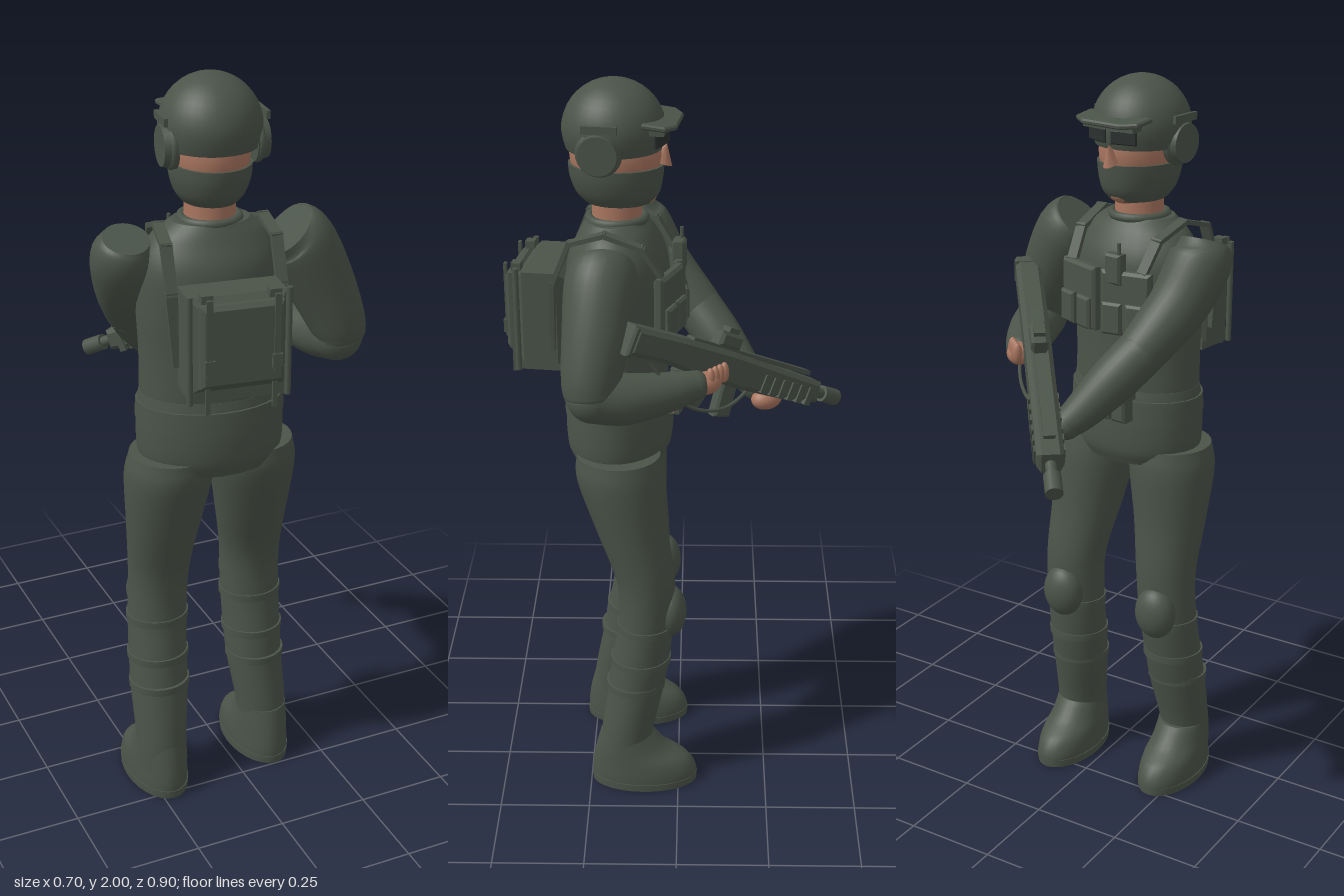
import * as THREE from 'three';

const mat = (name, color, side = THREE.FrontSide) => {
  const m = new THREE.MeshStandardMaterial({ color, side });
  m.name = name;
  return m;
};
const V = (x, y, z) => new THREE.Vector3(x, y, z);

// Smooth skin over elliptical rings. Rows: [x, y, z, ru, rv].
// Flat rings stay horizontal (rows go upward); otherwise they follow the path.
function loft(rows, flat = true, steps = 5, n = 28) {
  const mid = new THREE.CatmullRomCurve3(rows.map(r => V(r[0], r[1], r[2])), false, 'catmullrom');
  const rad = new THREE.CatmullRomCurve3(rows.map(r => V(r[3], r[4] ?? r[3], 0)), false, 'catmullrom');
  const count = (rows.length - 1) * steps, pos = [], idx = [];
  const ring = k => {
    const f = k / count, c = mid.getPoint(f), r = rad.getPoint(f);
    const t = flat ? V(0, 1, 0) : mid.getTangent(f);
    const u = flat ? V(1, 0, 0) : V(0, 1, 0).cross(t).normalize();
    const v = u.clone().cross(t);
    for (let j = 0; j < n; j++) {
      const a = j / n * Math.PI * 2;
      const p = c.clone().addScaledVector(u, Math.cos(a) * r.x).addScaledVector(v, Math.sin(a) * r.y);
      pos.push(p.x, p.y, p.z);
    }
    return c;
  };
  for (let k = 0; k <= count; k++) ring(k);
  for (let k = 0; k < count; k++) for (let j = 0; j < n; j++) {
    const a = k * n + j, b = k * n + (j + 1) % n;
    idx.push(a, a + n, b, b, a + n, b + n);
  }
  // separate end caps keep a crisp edge
  for (const k of [0, count]) {
    const s = pos.length / 3, c = ring(k), m = pos.length / 3;
    pos.push(c.x, c.y, c.z);
    for (let j = 0; j < n; j++) {
      const a = s + j, b = s + (j + 1) % n;
      if (k) idx.push(m, b, a); else idx.push(m, a, b);
    }
  }
  const g = new THREE.BufferGeometry();
  g.setAttribute('position', new THREE.Float32BufferAttribute(pos, 3));
  g.setIndex(idx);
  g.computeVertexNormals();
  return g;
}

// Extruded outline with a chamfered edge, centred on its depth
function slab(points, depth, bevel) {
  const g = new THREE.ExtrudeGeometry(new THREE.Shape(points.map(p => new THREE.Vector2(...p))), {
    depth: depth - bevel * 2, bevelSize: bevel, bevelThickness: bevel, bevelOffset: -bevel, bevelSegments: 1 });
  return g.translate(0, 0, bevel - depth / 2);
}
const rect = (w, h) => [[-w / 2, -h / 2], [w / 2, -h / 2], [w / 2, h / 2], [-w / 2, h / 2]];

export function createModel() {
  const green = mat('uniform green', 0x4b5449), skin = mat('skin', 0xa8755f);
  const dark = mat('dark lens', 0x2b302e);
  const root = new THREE.Group();
  root.name = 'soldier';
  const add = (parent, name, geo, m = green, p = [0, 0, 0], rot = [0, 0, 0], s = [1, 1, 1]) => {
    const o = new THREE.Mesh(geo, m);
    o.name = name;
    o.position.set(...p); o.rotation.set(...rot); o.scale.set(...s);
    parent.add(o);
    return o;
  };
  const group = (name, parent = root) => {
    const g = new THREE.Group();
    g.name = name;
    parent.add(g);
    return g;
  };
  const box = (w, h, d) => new THREE.BoxGeometry(w, h, d);
  const ball = new THREE.SphereGeometry(1, 24, 16);

  // Upper body, turned slightly
  const body = group('upperBody');
  body.position.set(-0.065, 0, 0.16);
  body.rotation.y = -0.13;
  add(body, 'torso', loft([[0, 1.19, 0, .185, .13], [0, 1.3, 0, .185, .13], [0, 1.42, 0, .19, .135],
    [0, 1.53, 0, .185, .13], [0, 1.6, 0, .15, .1], [0, 1.64, .005, .1, .075]]));
  add(body, 'jacketSkirt', loft([[0, .98, 0, .175, .125], [0, 1.02, 0, .192, .14], [0, 1.09, 0, .195, .143],
    [0, 1.15, 0, .192, .138], [0, 1.19, 0, .186, .131]]));
  add(body, 'belt', loft([[0, 1.115, 0, .197, .146], [0, 1.165, 0, .195, .142]], true, 1));
  add(body, 'collar', new THREE.TorusGeometry(.072, .012, 8, 28), green, [0, 1.64, 0], [Math.PI / 2, 0, 0]);
  add(body, 'neck', new THREE.CylinderGeometry(.062, .067, .16, 24), skin, [0, 1.66, 0]);

  // Head, mask, helmet and ear cups
  const head = group('head', body);
  add(head, 'face', ball, skin, [0, 1.81, 0], [0, 0, 0], [.098, .125, .12]);
  add(head, 'nose', new THREE.ConeGeometry(.02, .05, 12), skin, [0, 1.815, -.122], [-.35, 0, 0], [1, 1, 1.6]);
  add(head, 'chin', ball, skin, [0, 1.705, -.055], [0, 0, 0], [.045, .03, .05]);
  add(head, 'mask', loft([[0, 1.685, -.005, .07, .085], [0, 1.71, -.003, .088, .108],
    [0, 1.75, 0, .1, .12], [0, 1.785, 0, .103, .124]], true, 3));
  const dome = [[.118, 1.825], [.124, 1.845], [.128, 1.87]];
  for (let i = 1; i <= 10; i++) {
    const a = i / 10 * Math.PI / 2;
    dome.push([Math.max(.128 * Math.cos(a), .0001), 1.87 + .13 * Math.sin(a)]);
  }
  add(head, 'helmet', new THREE.LatheGeometry(dome.map(p => new THREE.Vector2(...p)), 36),
    mat('helmet green', 0x4b5449, THREE.DoubleSide), [0, 0, .005], [0, 0, 0], [1, 1, 1.04]);
  add(head, 'helmetBill', slab([[-.1, 0], [.1, 0], [.098, .06], [.06, .085], [-.06, .085], [-.098, .06]], .014, .004),
    green, [0, 1.905, -.08], [-Math.PI / 2 - .12, 0, 0]);
  add(head, 'goggleFrame', box(.16, .022, .04), green, [0, 1.888, -.115]);
  for (const s of [-1, 1]) {
    add(head, 'lens', slab(rect(.07, .036), .009, .003), dark, [s * .042, 1.86, -.122], [0, s * -.3, 0]);
    add(head, 'earCup', new THREE.CylinderGeometry(.05, .058, .035, 24), green, [s * .115, 1.835, .025], [0, 0, -s * Math.PI / 2]);
    add(head, 'earCupRim', new THREE.TorusGeometry(.05, .01, 8, 24), green, [s * .108, 1.835, .025], [0, Math.PI / 2, 0]);
    add(head, 'helmetRail', box(.01, .02, .09), green, [s * .127, 1.9, .02]);
  }

  // Backpack
  const pack = group('backpack', body);
  add(pack, 'packBody', slab(rect(.25, .25), .15, .03), green, [0, 1.395, .185]);
  add(pack, 'packFlap', slab(rect(.21, .21), .035, .01), green, [0, 1.405, .262]);
  add(pack, 'packBase', box(.24, .03, .11), green, [0, 1.265, .185]);
  for (const s of [-1, 1]) {
    add(pack, 'packRod', new THREE.CylinderGeometry(.008, .008, .28, 10), green, [s * .125, 1.39, .245]);
    add(pack, 'packStrap', box(.016, .2, .008), green, [s * .085, 1.43, .28]);
    add(pack, 'packBuckle', box(.026, .035, .016), green, [s * .085, 1.36, .28]);
    add(pack, 'packTail', box(.012, .08, .008), green, [s * .085, 1.27, .265]);
    add(pack, 'packHook', box(.03, .02, .025), green, [s * .085, 1.525, .25]);
  }

  // Shoulder straps as chains of thin bars
  const bar = (parent, name, a, b, w, t) => {
    const o = add(parent, name, box(w, t, a.distanceTo(b) + t), green);
    o.position.copy(a).add(b).multiplyScalar(.5);
    const z = b.clone().sub(a).normalize(), x = V(1, 0, 0).addScaledVector(z, -z.x).normalize();
    o.quaternion.setFromRotationMatrix(new THREE.Matrix4().makeBasis(x, z.clone().cross(x), z));
  };
  for (const s of [-1, 1]) {
    const path = [V(.11, 1.38, -.135), V(.115, 1.52, -.135), V(.125, 1.6, -.085), V(.135, 1.635, .01),
      V(.14, 1.61, .1), V(.14, 1.5, .145), V(.125, 1.32, .15)].map(p => p.setX(p.x * s));
    for (let i = 1; i < path.length; i++) bar(body, 'shoulderStrap', path[i - 1], path[i], .03, .012);
    // Chest rig
    add(body, 'chestPlate', slab(rect(.14, .17), .03, .008), green, [s * .075, 1.44, -.145], [0, s * -.25, 0]);
    for (let i = 0; i < 2; i++)
      add(body, 'chestPouch', slab(rect(.055, .085), .03, .006), green, [s * (.045 + i * .065), 1.4, -.165 + i * .015], [0, s * -.25, 0]);
  }
  add(body, 'chestRadio', slab(rect(.05, .08), .035, .006), green, [-.045, 1.53, -.155]);
  add(body, 'radioAerial', new THREE.CylinderGeometry(.005, .005, .06, 8), green, [-.06, 1.57, -.16]);
  for (let i = 0; i < 3; i++) {
    add(body, 'beltPouch', slab(rect(.046, .075), .045, .007), green, [-.07 + i * .055, 1.155, -.155]);
    add(body, 'pouchLid', box(.05, .02, .05), green, [-.07 + i * .055, 1.187, -.155]);
  }
  add(body, 'beltTag', box(.018, .03, .03), skin, [.08, 1.15, -.145]);

  // Arms: upper sleeve, forearm, cuff, hand
  const arm = (name, upper, fore, hand) => {
    const g = group(name);
    add(g, 'upperSleeve', loft(upper, false));
    add(g, 'forearmSleeve', loft(fore, false));
    const e = fore[0], c = fore.at(-1);
    add(g, 'elbowPad', ball, green, e.slice(0, 3), [0, 0, 0], [e[3], e[3], e[3]]);
    add(g, 'cuff', ball, green, c.slice(0, 3), [0, 0, 0], [.04, .04, .04]);
    add(g, 'palm', ball, skin, hand, [0, .6, 0], [.034, .03, .045]);
    for (let i = 0; i < 4; i++)
      add(g, 'finger', ball, skin, [hand[0] + .012 - i * .013, hand[1] + .018, hand[2] - .012 - i * .012],
        [0, .7, 0], [.013, .028, .012]);
  };
  arm('leftArm',
    [[.135, 1.585, .19, .075], [.17, 1.55, .19, .092], [.225, 1.44, .2, .088], [.27, 1.33, .215, .075], [.28, 1.28, .215, .066]],
    [[.275, 1.285, .21, .068], [.255, 1.27, .13, .066], [.215, 1.27, .03, .052], [.18, 1.275, -.04, .04]], [.165, 1.275, -.07]);
  arm('rightArm',
    [[-.275, 1.6, .13, .06], [-.275, 1.55, .11, .083], [-.25, 1.45, .05, .078], [-.2, 1.34, -.05, .065]],
    [[-.2, 1.34, -.05, .064], [-.15, 1.27, -.11, .062], [-.1, 1.2, -.17, .05], [-.07, 1.165, -.205, .04]], [-.04, 1.14, -.235]);

  // Legs: rows are [height, x, z, half width, half depth]
  const leg = (name, rows, footX, footZ, kneeX, kneeZ) => {
    const g = group(name), to = ([y, x, z, a, b], k = 0) => [x, y, z, a + k, b + k];
    add(g, 'trouser', loft(rows.map(r => to(r))));
    for (const [i, y] of [[2, .31], [3, .39], [4, .5]]) {
      const r = rows[i], t = to([y, ...r.slice(1)], .004);
      add(g, 'shinBand', loft([t, [t[0], y + .02, t[2], t[3], t[4]]], true, 1));
    }
    add(g, 'kneePad', ball, green, [kneeX, .55, kneeZ], [0, 0, 0], [.06, .075, .045]);
    add(g, 'boot', loft([[footX, 0, footZ, .079, .147], [footX, .035, footZ, .081, .149], [footX, .075, footZ + .01, .078, .135],
      [footX, .11, footZ + .035, .073, .103], [footX, .16, footZ + .05, .068, .075]], true, 3));
    add(g, 'sole', loft([[footX, 0, footZ, .082, .15], [footX, .022, footZ, .083, .151]], true, 1));
  };
  leg('leftLeg', [[.08, .105, .145, .07, .072], [.16, .103, .145, .07, .073], [.3, .092, .12, .078, .078], [.4, .09, .105, .081, .08],
    [.52, .089, .09, .083, .076], [.65, .088, .09, .085, .08], [.8, .074, .125, .1, .097], [.95, .06, .155, .115, .118], [1.02, .055, .16, .108, .112]],
    .104, .097, .089, .022);
  leg('rightLeg', [[.08, -.222, .19, .07, .068], [.16, -.222, .183, .07, .07], [.3, -.213, .152, .08, .075], [.4, -.208, .132, .081, .077],
    [.52, -.2, .112, .082, .076], [.65, -.193, .11, .084, .08], [.8, -.188, .135, .1, .097], [.95, -.18, .155, .117, .118], [1.02, -.175, .16, .108, .112]],
    -.222, .127, -.2, .042);

  // Rifle: local x runs from muzzle to stock
  const gun = group('rifle');
  const dir = V(.45, .36, .56).normalize(), side = dir.clone().cross(V(0, 1, 0)).normalize();
  gun.quaternion.setFromRotationMatrix(new THREE.Matrix4().makeBasis(dir, side.clone().cross(dir), side));
  gun.position.set(-.18, 1.08, -.43);
  const rod = (name, r, len, x, y) => add(gun, name, new THREE.CylinderGeometry(r, r, len, 16), green, [x, y, 0], [0, 0, Math.PI / 2]);
  rod('muzzle', .023, .06, .03, 0);
  rod('barrel', .015, .12, .09, 0);
  add(gun, 'receiver', slab([[.09, -.025], [.2, -.04], [.4, -.045], [.55, -.04], [.68, -.03], [.8, -.035],
    [.8, .04], [.62, .045], [.45, .045], [.1, .032]], .07, .012));
  for (let i = 0; i < 6; i++) add(gun, 'handguardRib', box(.02, .05, .08), green, [.14 + i * .035, -.012, 0]);
  add(gun, 'topRail', box(.45, .012, .03), green, [.37, .046, 0]);
  add(gun, 'scope', slab(rect(.08, .04), .045, .008), green, [.47, .07, 0]);
  add(gun, 'scopeCap', box(.035, .02, .03), green, [.47, .093, 0]);
  add(gun, 'pistolGrip', slab(rect(.04, .09), .035, .006), green, [.5, -.075, 0], [0, 0, .3]);
  add(gun, 'magazine', slab(rect(.055, .1), .035, .006), green, [.41, -.08, 0], [0, 0, -.15]);
  add(gun, 'buttPad', slab(rect(.02, .08), .074, .006), green, [.8, .002, 0]);
  add(root, 'sling', new THREE.TubeGeometry(new THREE.CatmullRomCurve3([V(.02, 1.21, -.2), V(.1, 1.18, -.13),
    V(.17, 1.2, -.06), V(.21, 1.25, 0), V(.23, 1.36, .07)]), 32, .005, 6), green);
  return root;
}
